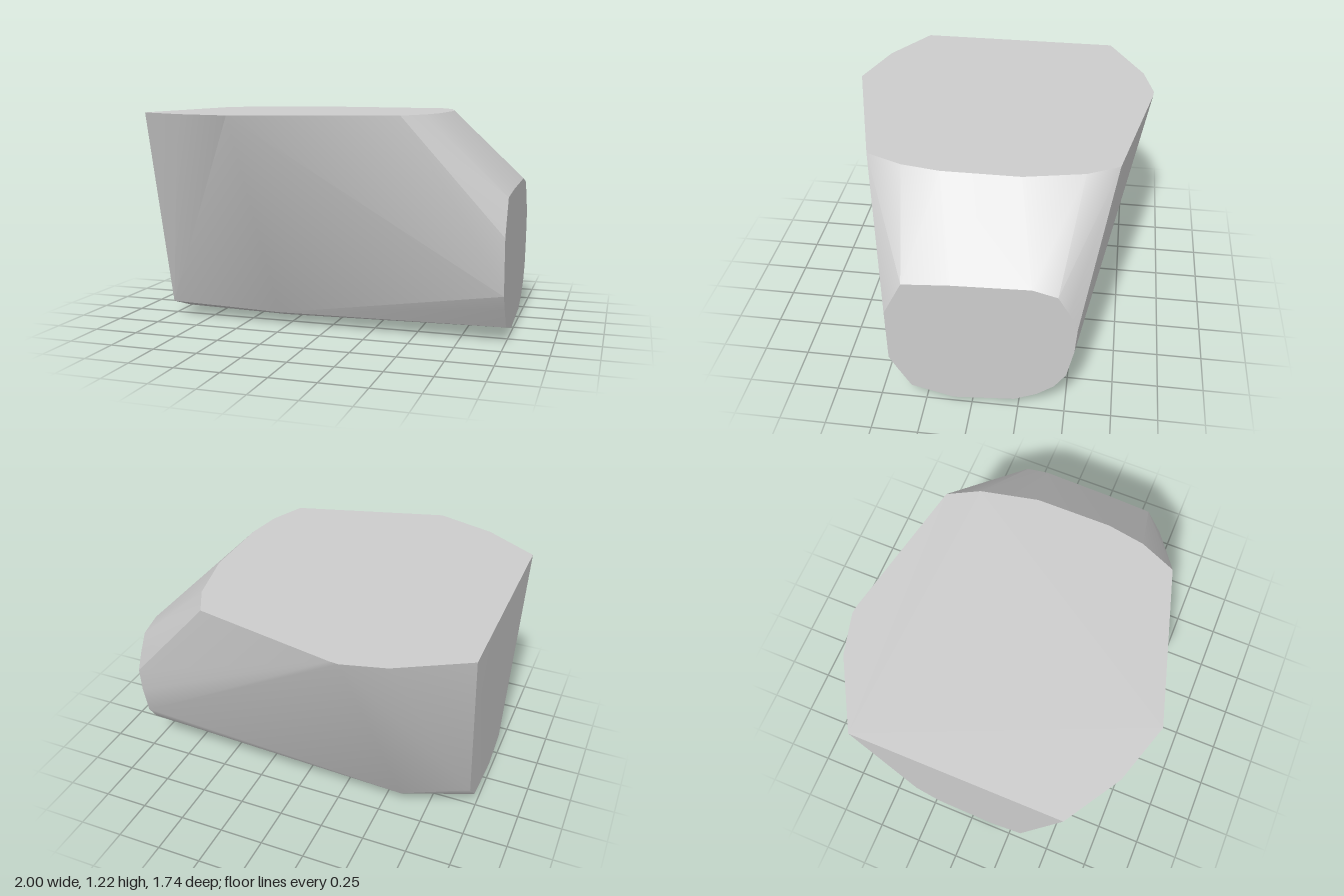
import * as THREE from 'three';
import { toCreasedNormals } from 'three/addons/utils/BufferGeometryUtils.js';
import { ConvexGeometry } from 'three/addons/geometries/ConvexGeometry.js';

export function createModel() {
  const group = new THREE.Group();
  group.name = 'facetedBlock';
  const grey = new THREE.MeshStandardMaterial({ color: 0xcccccc });
  grey.name = 'light grey';

  // Flat top outline, as x, z at the full height
  const top = [
    [-1, -0.6], [-0.63, -0.81], [-0.4, -0.87], [-0.35, -0.865], [0.44, -0.7],
    [0.53, -0.53], [0.6, -0.21], [0.6, 0.21], [0.565, 0.42], [0.48, 0.62],
    [-0.37, 0.865], [-0.7, 0.76], [-1, 0.57],
  ].map(([x, z]) => new THREE.Vector3(x, 1.22, z));

  // Rounded end face, as z, y at x = 1
  const endFace = [
    [0.45, 0.59], [0.35, 0.79], [0.1, 0.81], [-0.31, 0.825], [-0.44, 0.79],
    [-0.5, 0.69], [-0.545, 0.59], [-0.535, 0.44], [-0.5, 0.27], [-0.44, 0.18],
    [-0.35, 0.11], [-0.23, 0.055], [0.1, 0.025], [0.33, 0.085], [0.4, 0.2],
    [0.445, 0.28],
  ].map(([z, y]) => new THREE.Vector3(1, y, z));

  // Lower rim of the flat opposite end, as z, y
  const lowerRim = [[-0.36, 0.2], [-0.23, 0.06], [0.12, 0.015], [0.32, 0.085]]
    .map(([z, y]) => new THREE.Vector3(-0.985, y, z));

  // Shallow belly between the two ends
  const belly = [
    [-0.6, 0.08, -0.41], [-0.35, 0.01, -0.2], [-0.35, 0, 0.11], [-0.3, 0.07, 0.335],
  ].map((p) => new THREE.Vector3(...p));

  // Convex skin over the sections, softened across shallow edges
  const hull = new ConvexGeometry([...top, ...endFace, ...lowerRim, ...belly]);
  const body = new THREE.Mesh(toCreasedNormals(hull, Math.PI / 6), grey);
  body.name = 'body';
  group.add(body);
  return group;
}
